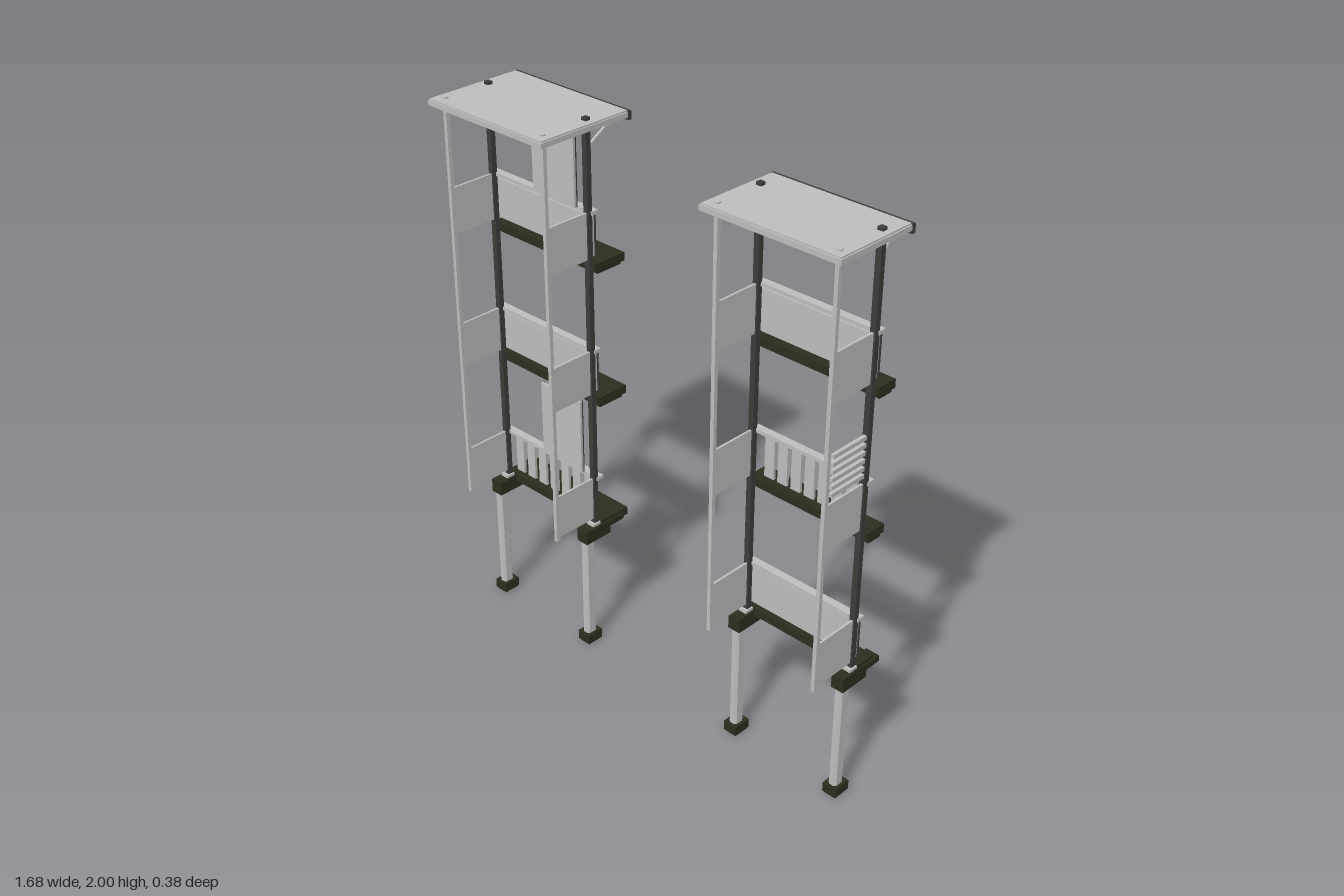
import * as THREE from 'three';

const mat = (name, color) => {
  const m = new THREE.MeshStandardMaterial({ color });
  m.name = name;
  return m;
};

export function createModel() {
  const light = mat('light grey', 0xbebebe);
  const dark = mat('dark steel', 0x3c3e3c);
  const olive = mat('dark olive', 0x2d2d1f);
  const root = new THREE.Group();

  // box given by its min and max on each axis
  function box(parent, name, m, x0, x1, y0, y1, z0, z1) {
    const mesh = new THREE.Mesh(new THREE.BoxGeometry(x1 - x0, y1 - y0, z1 - z0), m);
    mesh.position.set((x0 + x1) / 2, (y0 + y1) / 2, (z0 + z1) / 2);
    mesh.name = name;
    parent.add(mesh);
    return mesh;
  }

  // upright column with chamfered corners
  function column(parent, name, m, x, z, w, d, y0, y1, c) {
    const a = w / 2, b = d / 2;
    const shape = new THREE.Shape([
      [-a + c, -b], [a - c, -b], [a, -b + c], [a, b - c],
      [a - c, b], [-a + c, b], [-a, b - c], [-a, -b + c],
    ].map(([u, v]) => new THREE.Vector2(u, v)));
    const geo = new THREE.ExtrudeGeometry(shape, { depth: y1 - y0, bevelEnabled: false });
    geo.rotateX(-Math.PI / 2);
    const mesh = new THREE.Mesh(geo, m);
    mesh.position.set(x, y0, z);
    mesh.name = name;
    parent.add(mesh);
  }

  // slim bar between two points in a plane of constant x
  function strut(parent, x, y0, z0, y1, z1) {
    const mesh = new THREE.Mesh(new THREE.BoxGeometry(0.008, 0.008, Math.hypot(y1 - y0, z1 - z0)), light);
    mesh.position.set(x, (y0 + y1) / 2, (z0 + z1) / 2);
    mesh.rotation.x = -Math.atan2(y1 - y0, z1 - z0);
    mesh.name = 'roofBrace';
    parent.add(mesh);
  }

  function tower(name, o) {
    const g = new THREE.Group();
    g.name = name;
    root.add(g);
    const { xl, xr } = o;

    // roof with edge lip, rear fascia
    const [r0, r1, rz0, rz1] = o.roof;
    box(g, 'roof', light, r0 + 0.004, r1 - 0.004, 1.965, 1.99, rz0 + 0.008, rz1 - 0.004);
    box(g, 'roofLip', light, r0, r1, 1.968, 1.985, rz0 + 0.008, rz1);
    box(g, 'roofFascia', dark, r0 - 0.002, r1 + 0.002, 1.958, 1.988, rz0 - 0.004, rz0 + 0.008);

    for (const x of [xl, xr]) {
      const inward = x === xl ? 1 : -1;
      // foot, leg and the bracket carrying the lowest deck
      box(g, 'foot', olive, x - 0.027, x + 0.027, 0.005, 0.04, -0.03, 0.036);
      box(g, 'footBase', olive, x - 0.024, x + 0.024, 0, 0.005, -0.027, 0.033);
      column(g, 'leg', light, x, 0.005, 0.032, 0.042, 0.04, 0.45, 0.007);
      box(g, 'legCap', olive, x - 0.024, x + 0.024, 0.438, 0.49, -0.085, 0.03);
      box(g, 'deckArm', olive, x - 0.026, x + 0.026, 0.468, 0.49, -0.145, -0.085);
      box(g, 'postBase', light, x - 0.016, x + 0.016, 0.49, 0.5, -0.045, -0.01);

      // rear and front posts
      box(g, 'rearPost', dark, x - 0.01, x + 0.01, 0.49, 2, -0.042, -0.023);
      box(g, 'frontPost', light, x - 0.007, x + 0.007, 0.505, 1.995, 0.14, 0.154);
      strut(g, x + inward * 0.011, 1.885, -0.035, 1.965, rz0 + 0.02);
      box(g, 'braceEnd', dark, x - 0.006, x + 0.006, 1.955, 1.968, rz0 + 0.008, rz0 + 0.025);
    }

    [0.5, 1, 1.5].forEach((y, level) => {
      // deck with an underside rim
      const d0 = xl - 0.018, d1 = xr + 0.018, dz = o.deckBack;
      box(g, 'deck', olive, d0, d1, y - 0.03, y, dz, -0.045);
      box(g, 'deckEdge', olive, d0 - 0.002, d1 + 0.002, y - 0.035, y - 0.012, dz + 0.02, -0.05);
      for (const z of [dz + 0.006, -0.062]) {
        box(g, 'deckRim', light, d0 + 0.004, d1 - 0.004, y - 0.037, y - 0.029, z, z + 0.008);
      }

      // rear rail
      box(g, 'rail', light, xl - 0.014, xr + 0.014, y + 0.172, y + 0.185, -0.064, -0.036);

      if (level === o.slatLevel) {
        // upright balusters
        for (let i = 0; i < 7; i++) {
          const x = (xl + xr) / 2 + (i - 3) * o.slatPitch;
          box(g, 'baluster', light, x - 0.019, x + 0.019, y + 0.02, y + 0.165, -0.06, -0.05);
        }
        box(g, 'balusterRail', dark, xl, xr, y + 0.162, y + 0.173, -0.058, -0.05);
      } else {
        // solid rear panel with dark joints
        box(g, 'rearPanel', light, xl, xr, y + 0.02, y + 0.162, -0.06, -0.046);
        for (const t of [0, 1 / 3, 2 / 3, 1]) {
          const x = xl + (xr - xl) * t;
          box(g, 'panelJoint', dark, x - 0.004, x + 0.004, y + 0.02, y + 0.172, -0.063, -0.058);
        }
      }

      // side panels
      for (const x of [xl, xr]) {
        box(g, 'sidePanel', light, x - 0.004, x + 0.004, y + 0.017, y + 0.182, -0.023, 0.14);
      }
    });
    return g;
  }

  const a = tower('rightTower', {
    xl: -0.805, xr: -0.35, roof: [-0.842, -0.313, -0.188, 0.188],
    deckBack: -0.175, slatLevel: 0, slatPitch: 0.0595,
  });
  const b = tower('leftTower', {
    xl: 0.367, xr: 0.802, roof: [0.328, 0.836, -0.13, 0.182],
    deckBack: -0.125, slatLevel: 1, slatPitch: 0.0535,
  });

  // tall screens above the rails
  for (const [y0, y1] of [[0.682, 0.966], [1.682, 1.966]]) {
    box(a, 'tallScreen', light, -0.597, -0.402, y0, y1, -0.034, -0.024);
    for (const x of [-0.595, -0.5, -0.404]) {
      box(a, 'screenJoint', dark, x - 0.003, x + 0.003, y0, y1, -0.037, -0.033);
    }
  }

  // horizontal louvres on the outer side
  for (let i = 0; i < 6; i++) {
    const y = 1.21 + i * 0.0262;
    box(b, 'louvre', light, 0.796, 0.808, y - 0.007, y + 0.007, -0.023, 0.125);
  }

  return root;
}
